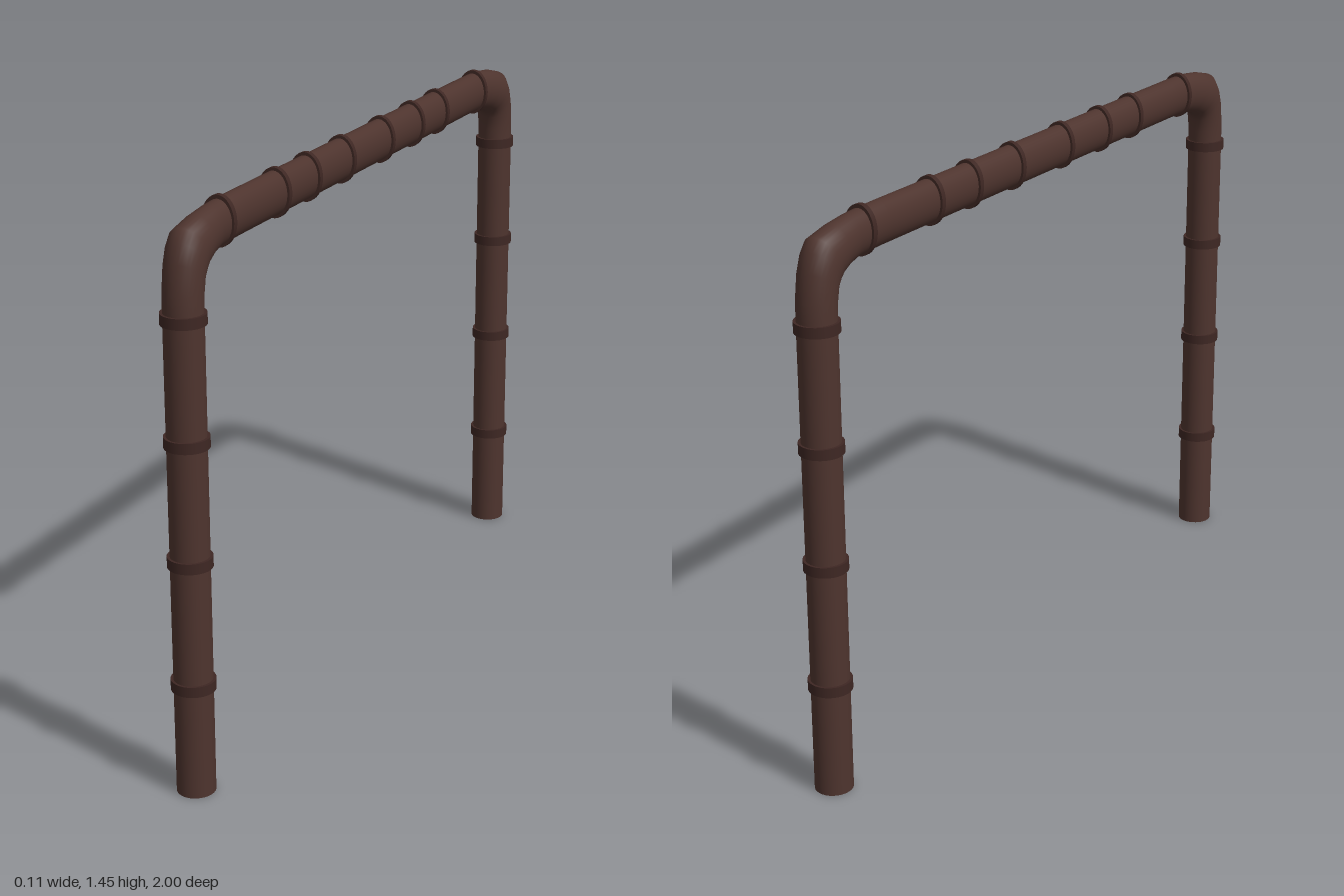
import * as THREE from 'three';

const SIDES = 32;

// Half of the pipe, from the front foot to the beam:
// [outer z, outer y, inner z, inner y, half width in x]
const HALF = [
  [0.994, 0, 0.896, 0, 0.048],
  [0.994, 1.2, 0.896, 1.2, 0.048],
  [0.993, 1.27, 0.895, 1.25, 0.048],
  [0.982, 1.34, 0.889, 1.285, 0.049],
  [0.966, 1.385, 0.88, 1.298, 0.05],
  [0.944, 1.414, 0.87, 1.307, 0.05],
  [0.88, 1.43, 0.84, 1.32, 0.044],
  [0.82, 1.438, 0.805, 1.328, 0.039],
  [0.765, 1.441, 0.765, 1.331, 0.037],
  [0.7, 1.442, 0.7, 1.332, 0.037],
];

// Lofts oval cross-sections into one bent tube
function loft(sections) {
  const pos = [], index = [];
  sections.forEach(([oz, oy, iz, iy, hw], s) => {
    for (let k = 0; k < SIDES; k++) {
      const a = (k / SIDES) * Math.PI * 2, c = Math.cos(a) / 2;
      pos.push(Math.sin(a) * hw, (oy + iy) / 2 + c * (oy - iy), (oz + iz) / 2 + c * (oz - iz));
      if (s === 0) continue;
      const n = (k + 1) % SIDES, p = (s - 1) * SIDES, q = s * SIDES;
      index.push(p + k, p + n, q + n, p + k, q + n, q + k);
    }
  });
  const g = new THREE.BufferGeometry();
  g.setAttribute('position', new THREE.Float32BufferAttribute(pos, 3));
  g.setIndex(index);
  g.computeVertexNormals();
  return g;
}

export function createModel() {
  const model = new THREE.Group();
  model.name = 'pipeArch';
  const pipeBrown = new THREE.MeshStandardMaterial({ color: 0x4e342e });
  pipeBrown.name = 'pipe brown';
  const bandBrown = new THREE.MeshStandardMaterial({ color: 0x3e2723 });
  bandBrown.name = 'dark band brown';

  const add = (name, geometry, material, y, z) => {
    const mesh = new THREE.Mesh(geometry, material);
    mesh.name = name;
    mesh.position.set(0, y, z);
    model.add(mesh);
  };

  // Bent pipe: two legs, two elbows and the beam
  const mirrored = HALF.map(([oz, oy, iz, iy, w]) => [-oz, oy, -iz, iy, w]).reverse();
  add('pipe', loft([...HALF, ...mirrored]), pipeBrown, 0, 0);

  const foot = new THREE.CircleGeometry(1, SIDES).rotateX(Math.PI / 2).scale(0.048, 1, 0.049);
  const legBand = new THREE.CylinderGeometry(0.055, 0.055, 0.027, SIDES);
  const beamBand = new THREE.CylinderGeometry(1, 1, 0.015, SIDES)
    .rotateX(Math.PI / 2).scale(0.043, 0.063, 1);

  for (const side of [1, -1]) {
    // Closed pipe ends at the ground
    add('foot', foot, pipeBrown, 0, side * 0.945);
    // Clamp bands
    for (const y of [0.288, 0.607, 0.907, 1.205]) add('legBand', legBand, bandBrown, y, side * 0.945);
    for (const z of [0.767, 0.486, 0.318, 0.12]) add('beamBand', beamBand, bandBrown, 1.387, side * z);
  }
  return model;
}
